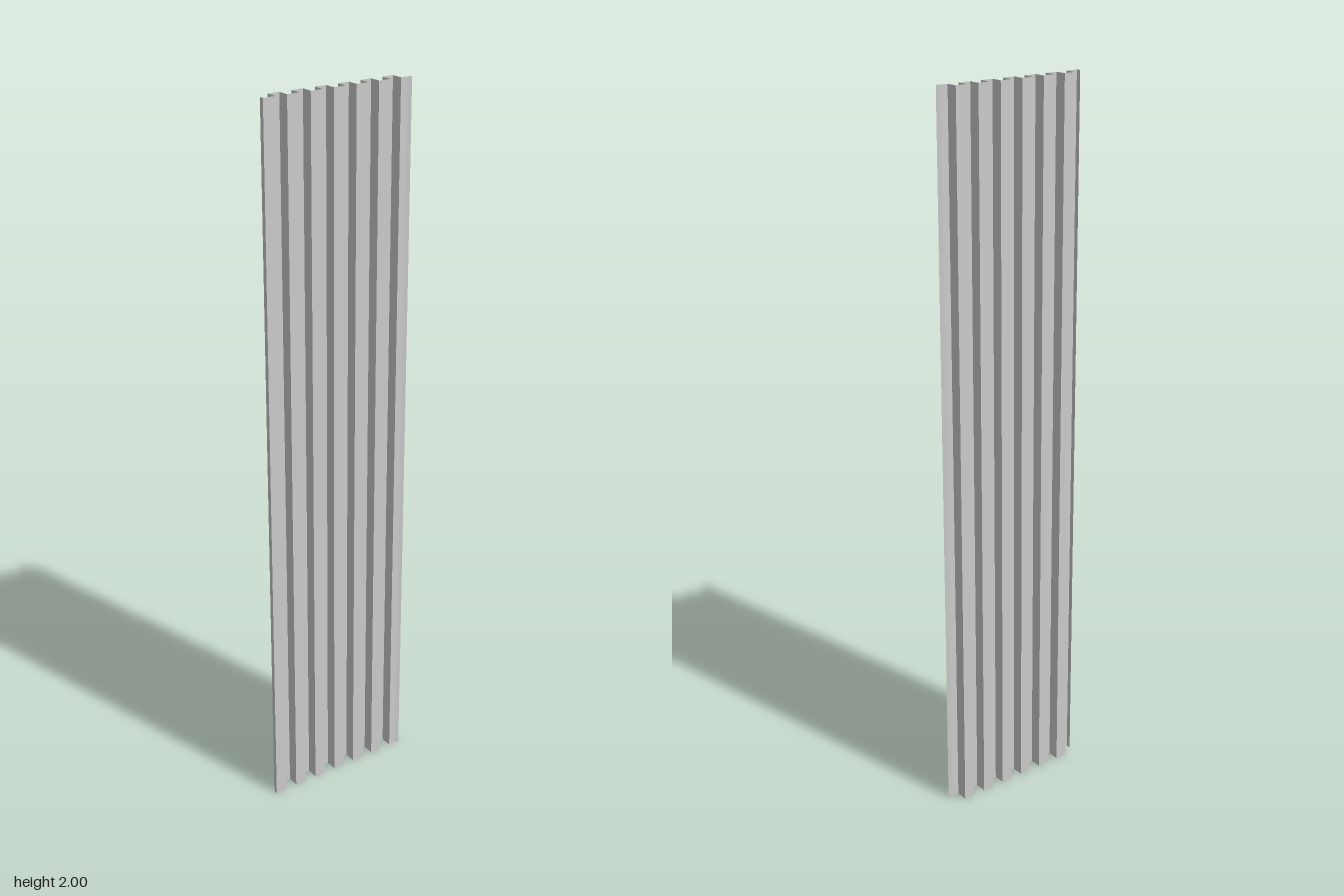
import * as THREE from 'three';

const HEIGHT = 2, FRONT = 0.014, BACK = -0.019;
const RIBS = 6, PITCH = 0.0679, RIB_START = -0.185, RIB_WIDTH = 0.033;

// Cross-section of the sheet as [x, z], running from -x to +x
function sheetProfile() {
  const points = [[-0.22, 0.001], [-0.22, FRONT]]; // folded edge
  for (let i = 0; i < RIBS; i++) {
    const a = RIB_START + i * PITCH, b = a + RIB_WIDTH;
    points.push([a, FRONT], [a, BACK], [b, BACK], [b, FRONT]);
  }
  points.push([0.208, FRONT], [0.22, 0.017]); // slightly bent lip
  return points;
}

// Sweep the open profile straight up, one flat panel per segment
function sweepUp(profile, height) {
  const positions = [];
  for (let i = 0; i < profile.length - 1; i++) {
    const [x0, z0] = profile[i], [x1, z1] = profile[i + 1];
    positions.push(
      x0, 0, z0, x1, 0, z1, x1, height, z1,
      x0, 0, z0, x1, height, z1, x0, height, z0
    );
  }
  const geometry = new THREE.BufferGeometry();
  geometry.setAttribute('position', new THREE.Float32BufferAttribute(positions, 3));
  geometry.computeVertexNormals();
  return geometry;
}

export function createModel() {
  const group = new THREE.Group();
  group.name = 'corrugatedPanel';
  const material = new THREE.MeshStandardMaterial({ color: 0xcccccc, side: THREE.DoubleSide });
  const sheet = new THREE.Mesh(sweepUp(sheetProfile(), HEIGHT), material);
  sheet.name = 'corrugatedSheet';
  group.add(sheet);
  return group;
}
